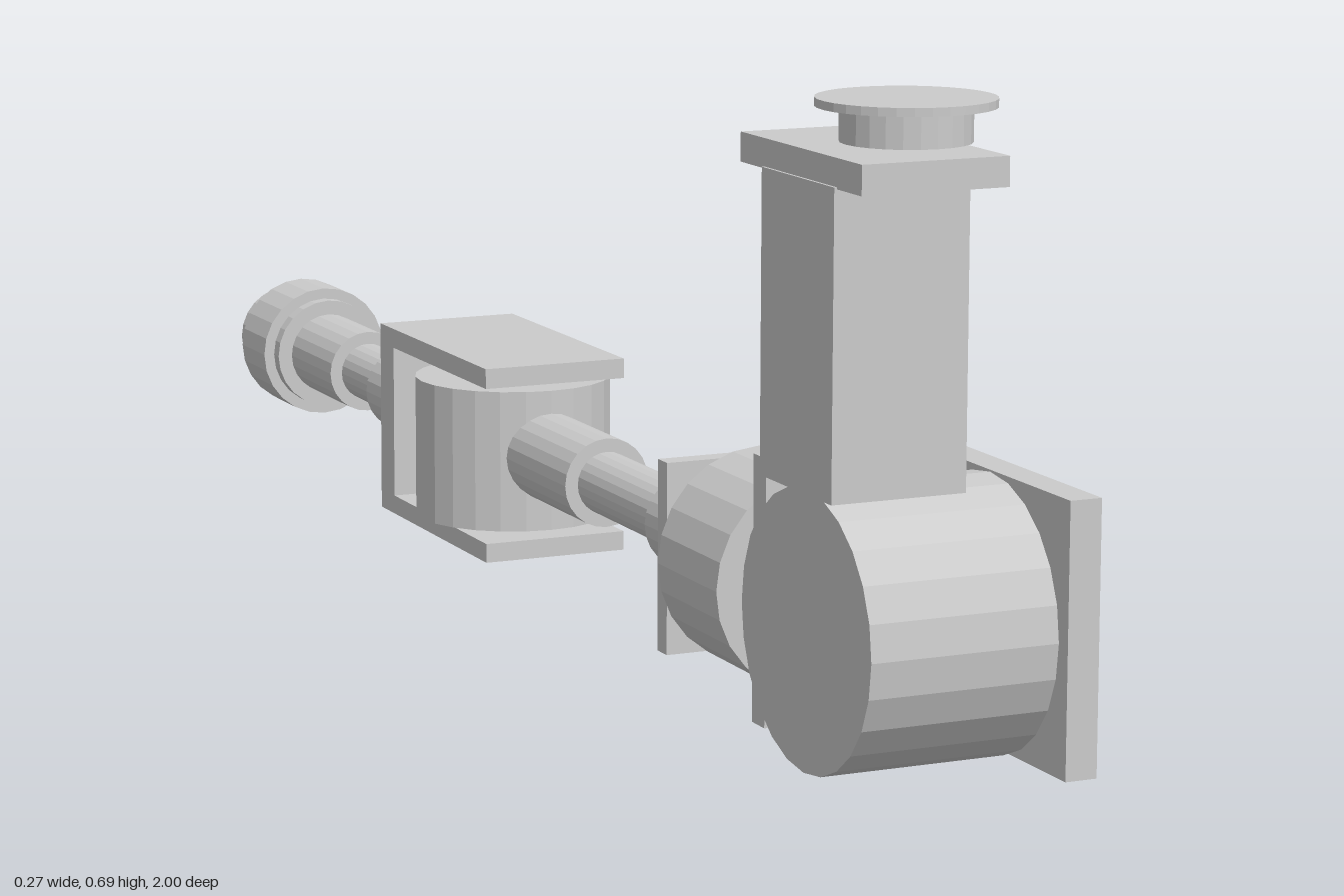
import * as THREE from 'three';

const material = new THREE.MeshStandardMaterial({ color: 0xcccccc, flatShading: true });
const AX = -0.015; // x of the arm's centre line
const AY = 0.15;   // height of the arm's centre line

export function createModel() {
  const model = new THREE.Group();
  model.name = 'robotArm';

  const group = (name) => {
    const g = new THREE.Group();
    g.name = name;
    model.add(g);
    return g;
  };
  // Box given by its limits on each axis
  const box = (parent, name, [x0, x1], [y0, y1], [z0, z1]) => {
    const m = new THREE.Mesh(new THREE.BoxGeometry(x1 - x0, y1 - y0, z1 - z0), material);
    m.position.set((x0 + x1) / 2, (y0 + y1) / 2, (z0 + z1) / 2);
    m.name = name;
    parent.add(m);
  };
  // Cylinder from a to b along an axis; c gives the centre on the other axes
  const drum = (parent, name, axis, r, a, b, c, sides = 24) => {
    const g = new THREE.CylinderGeometry(r, r, b - a, sides);
    if (axis === 'x') g.rotateZ(Math.PI / 2);
    if (axis === 'z') g.rotateX(Math.PI / 2);
    const m = new THREE.Mesh(g, material);
    m.position.set(c.x ?? AX, c.y ?? AY, c.z ?? 0);
    m.position[axis] = (a + b) / 2;
    m.name = name;
    parent.add(m);
  };

  // Base tower with its mounting plate and disc
  const tower = group('baseTower');
  box(tower, 'column', [-0.138, 0.013], [0.297, 0.615], [0.77, 0.933]);
  box(tower, 'mountPlate', [-0.135, 0.028], [0.613, 0.644], [0.714, 0.986]);
  drum(tower, 'mountBoss', 'y', 0.068, 0.644, 0.68, { z: 0.848 });
  drum(tower, 'mountDisc', 'y', 0.093, 0.68, 0.689, { z: 0.848 }, 32);

  // Shoulder motor held by an L-shaped bracket
  const shoulder = group('shoulder');
  drum(shoulder, 'shoulderDrum', 'x', 0.148, -0.123, 0.088, { y: 0.148, z: 0.846 });
  drum(shoulder, 'shoulderShaft', 'x', 0.053, 0.088, 0.096, { z: 0.846 });
  box(shoulder, 'bracketSide', [0.095, 0.131], [0.005, 0.295], [0.662, 1.0]);
  box(shoulder, 'bracketBack', [-0.092, 0.137], [0.005, 0.295], [0.66, 0.69]);

  // Upper arm roll motor and flange
  const roll = group('upperArmRoll');
  drum(roll, 'rollDrum', 'z', 0.12, 0.513, 0.661, {});
  drum(roll, 'rollShaft', 'z', 0.055, 0.5, 0.515, {});
  box(roll, 'rollFlange', [AX - 0.106, AX + 0.106], [0.045, 0.258], [0.482, 0.506]);

  // Stepped tubes: [name, radius, back, front]
  const tubes = group('armTubes');
  for (const [name, r, a, b] of [
    ['upperSleeve', 0.053, 0.33, 0.484],
    ['upperRod', 0.037, 0.103, 0.332],
    ['elbowSleeve', 0.053, -0.08, 0.105],
    ['forearmSleeve', 0.053, -0.547, -0.395],
    ['forearmRod', 0.037, -0.682, -0.545],
    ['wristSleeve', 0.053, -0.832, -0.68],
  ]) drum(tubes, name, 'z', r, a, b, {});

  // Elbow motor inside a U-shaped fork
  const elbow = group('elbow');
  const ex = [AX - 0.09, AX + 0.09];
  drum(elbow, 'elbowDrum', 'y', 0.12, 0.06, 0.231, { z: -0.18 });
  drum(elbow, 'elbowShaft', 'y', 0.055, 0.05, 0.244, { z: -0.18 });
  box(elbow, 'forkTop', ex, [0.242, 0.266], [-0.397, -0.048]);
  box(elbow, 'forkBottom', ex, [0.03, 0.053], [-0.397, -0.048]);
  box(elbow, 'forkBack', ex, [0.053, 0.242], [-0.397, -0.352]);

  // Wrist: stack of coaxial rings
  const wrist = group('wrist');
  for (const [name, r, a, b] of [
    ['wristCollar', 0.072, -0.85, -0.83],
    ['wristDrum', 0.086, -0.937, -0.848],
    ['wristRing', 0.068, -0.976, -0.937],
    ['toolNeck', 0.055, -0.987, -0.976],
    ['toolDisc', 0.065, -1.0, -0.985],
  ]) drum(wrist, name, 'z', r, a, b, {});

  return model;
}
